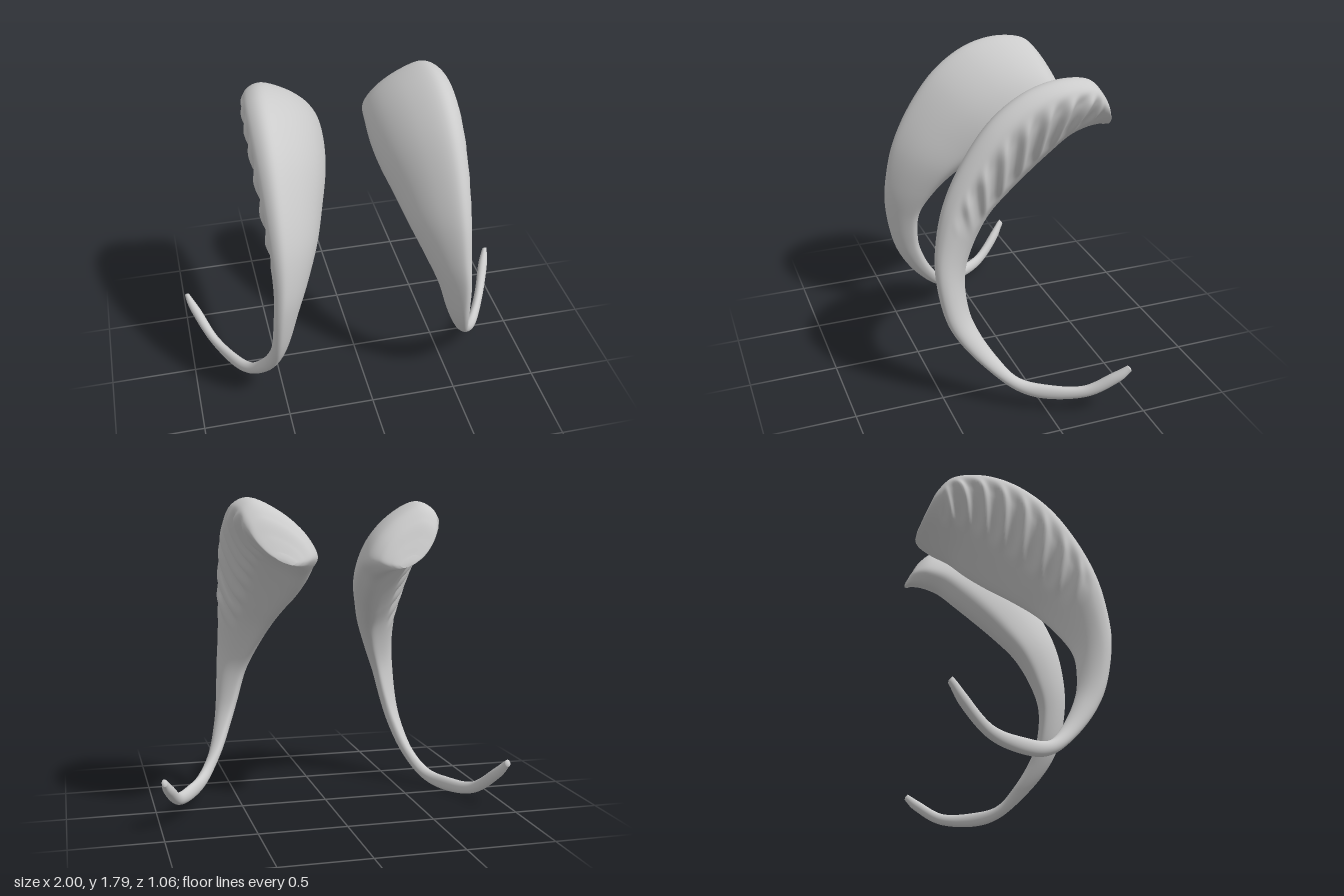
import * as THREE from 'three';

// Stations from thin tip to thick root: outer edge z,y | inner edge z,y | outside x, inside x
const STATIONS = [
  [-0.415, 0.275, -0.395, 0.31, 1.0, 0.97],
  [-0.35, 0.20, -0.32, 0.255, 0.985, 0.925],
  [-0.20, 0.10, -0.18, 0.165, 0.92, 0.86],
  [0.00, 0.07, 0.00, 0.155, 0.825, 0.76],
  [0.15, 0.11, 0.13, 0.18, 0.745, 0.67],
  [0.30, 0.24, 0.22, 0.28, 0.66, 0.58],
  [0.42, 0.39, 0.30, 0.42, 0.61, 0.51],
  [0.49, 0.54, 0.34, 0.55, 0.585, 0.46],
  [0.53, 0.76, 0.34, 0.73, 0.57, 0.405],
  [0.525, 0.95, 0.27, 0.88, 0.56, 0.34],
  [0.475, 1.18, 0.16, 1.015, 0.565, 0.27],
  [0.37, 1.40, 0.02, 1.12, 0.575, 0.215],
  [0.22, 1.60, -0.12, 1.21, 0.585, 0.165],
  [0.04, 1.73, -0.23, 1.285, 0.59, 0.14],
  [-0.15, 1.785, -0.33, 1.36, 0.585, 0.135],
  [-0.33, 1.77, -0.42, 1.40, 0.56, 0.145],
  [-0.42, 1.69, -0.49, 1.425, 0.52, 0.19],
  [-0.47, 1.59, -0.52, 1.435, 0.465, 0.245],
  [-0.505, 1.51, -0.53, 1.445, 0.40, 0.29],
];

// Thick cross-section (across, inner edge to outer edge): domed inside, slanted face outside
const PROFILE = [
  [0.2, 0.01], [0.05, 0.09], [0, 0.25], [0.15, 0.55], [0.42, 0.82], [0.75, 1],
  [0.95, 0.92], [1, 0.74], [0.92, 0.54], [0.74, 0.33], [0.47, 0.14],
];

const spline = (pts, closed = false) => new THREE.CatmullRomCurve3(pts, closed, 'catmullrom', 0.5);
const smooth = THREE.MathUtils.smoothstep;
const lerp = THREE.MathUtils.lerp;

const outerEdge = spline(STATIONS.map(s => new THREE.Vector3(0, s[1], s[0])));
const innerEdge = spline(STATIONS.map(s => new THREE.Vector3(0, s[3], s[2])));
const sides = spline(STATIONS.map((s, i) => new THREE.Vector3(s[4], s[5], i)));
const profile = spline(PROFILE.map(p => new THREE.Vector3(p[0], p[1], 0)), true);

// Height of the slanted ribs on the outside face
function rib(s, u, t) {
  const along = s - 2 * (t - 0.5);
  const mask = smooth(s, 9.4, 10.6) * (1 - smooth(s, 14.6, 15.6))
    * smooth(t, 0.2, 0.42) * (1 - smooth(t, 0.7, 0.88)) * smooth(u, 0.6, 0.75);
  return mask * (0.034 * Math.pow(0.5 + 0.5 * Math.sin(along * Math.PI * 2 / 0.74), 1.5) - 0.02);
}

function hornGeometry(side) {
  const rows = 280, cols = 72, last = STATIONS.length - 1;
  const positions = [], index = [];
  const tri = (a, b, c) => (side > 0 ? index.push(a, b, c) : index.push(a, c, b));

  // The right horn hangs slightly lower, most of all along its tail
  const place = (s, x, y, z) => {
    const tail = smooth(s, 0, 2.5) * (1 - smooth(s, 4, 8));
    if (side > 0) positions.push(x, y, z);
    else positions.push(-x + 0.03 * tail + 0.01 * smooth(s, 5, 9), y - 0.027 - 0.043 * tail, z);
  };

  for (let i = 0; i <= rows; i++) {
    const f = i / rows, s = f * last;
    const outer = outerEdge.getPoint(f), inner = innerEdge.getPoint(f), x = sides.getPoint(f);
    const thick = smooth(s, 3, 9);
    for (let j = 0; j < cols; j++) {
      const a = j / cols, p = profile.getPoint(a), angle = a * Math.PI * 2;
      const u = lerp(0.5 - 0.5 * Math.sin(angle), p.x, thick);
      const t = lerp(0.5 - 0.5 * Math.cos(angle), p.y, thick);
      place(s, lerp(x.y, x.x, u) + rib(s, u, t), lerp(inner.y, outer.y, t), lerp(inner.z, outer.z, t));
    }
  }
  for (let i = 0; i < rows; i++) {
    for (let j = 0; j < cols; j++) {
      const k = (j + 1) % cols, a = i * cols + j, b = i * cols + k;
      tri(a, b, a + cols);
      tri(b, b + cols, a + cols);
    }
  }

  // Close both ends with fans
  for (const row of [0, rows]) {
    const f = row / rows, x = sides.getPoint(f);
    const mid = outerEdge.getPoint(f).lerp(innerEdge.getPoint(f), 0.5);
    const centre = positions.length / 3;
    place(f * last, (x.x + x.y) / 2, mid.y, mid.z - 0.006);
    for (let j = 0; j < cols; j++) {
      const a = row * cols + j, b = row * cols + (j + 1) % cols;
      if (row === 0) tri(centre, b, a);
      else tri(centre, a, b);
    }
  }

  const geometry = new THREE.BufferGeometry();
  geometry.setAttribute('position', new THREE.Float32BufferAttribute(positions, 3));
  geometry.setIndex(index);
  geometry.computeVertexNormals();
  return geometry;
}

export function createModel() {
  const group = new THREE.Group();
  group.name = 'hornPair';
  const material = new THREE.MeshStandardMaterial({ color: 0xcccccc });
  for (const [name, side] of [['leftHorn', 1], ['rightHorn', -1]]) {
    const horn = new THREE.Mesh(hornGeometry(side), material);
    horn.name = name;
    group.add(horn);
  }
  return group;
}
